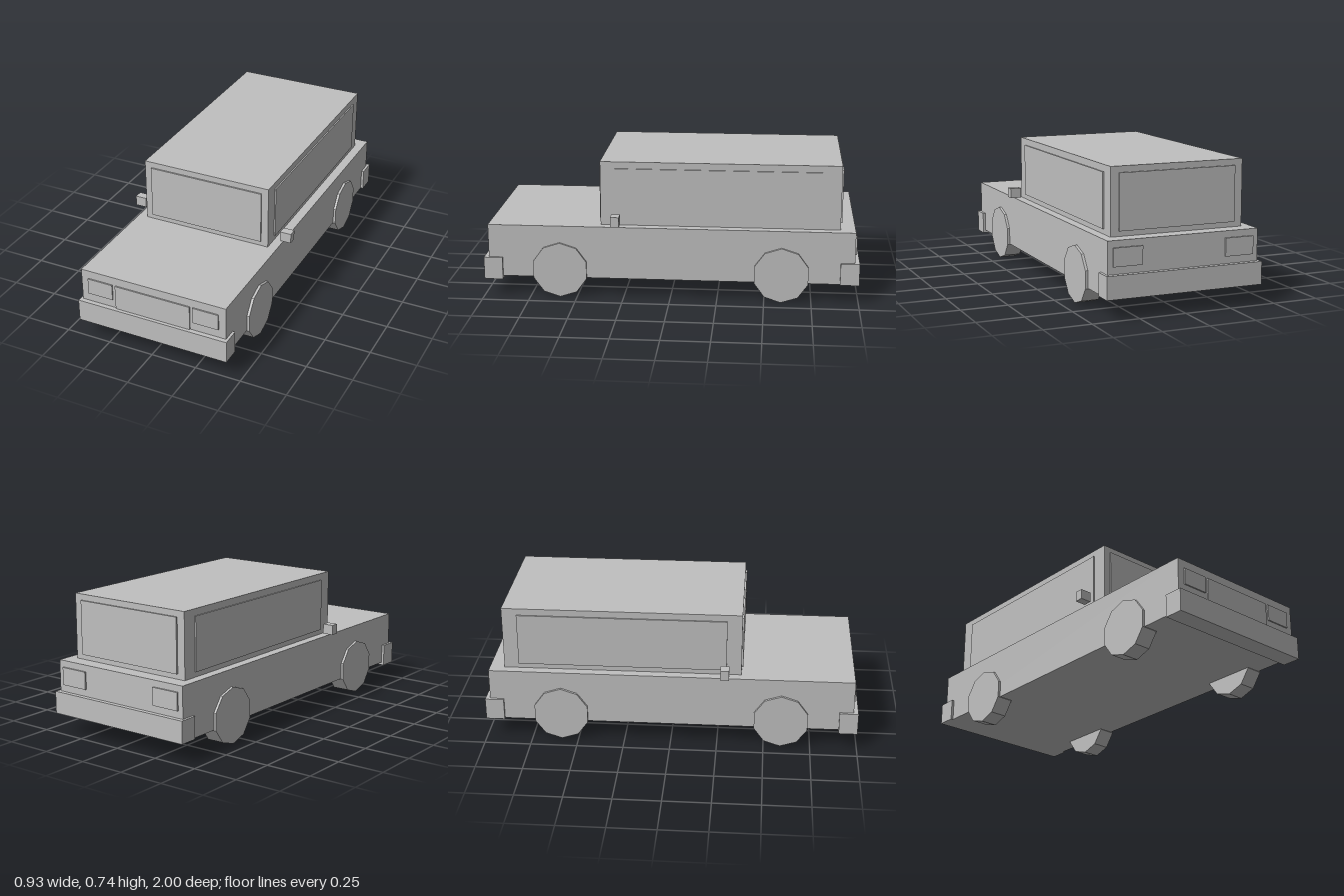
import * as THREE from 'three';

export function createModel() {
  const car = new THREE.Group();
  car.name = 'car';
  const grey = new THREE.MeshStandardMaterial({ color: 0xc0c0c0 });
  grey.name = 'grey';

  // box given by its limits on each axis
  function box(name, x0, x1, y0, y1, z0, z1) {
    const mesh = new THREE.Mesh(new THREE.BoxGeometry(x1 - x0, y1 - y0, z1 - z0), grey);
    mesh.position.set((x0 + x1) / 2, (y0 + y1) / 2, (z0 + z1) / 2);
    mesh.name = name;
    car.add(mesh);
  }

  // the same box on the left (+x) and right (-x)
  function pair(name, x0, x1, ...rest) {
    box('left' + name, x0, x1, ...rest);
    box('right' + name, -x1, -x0, ...rest);
  }

  // body and cabin
  box('body', -0.41, 0.41, 0.099, 0.384, -0.975, 0.975);
  box('cabin', -0.36, 0.36, 0.384, 0.729, -0.896, 0.374);

  // windows
  box('windscreen', -0.322, 0.322, 0.411, 0.697, 0.374, 0.382);
  box('rearWindow', -0.316, 0.316, 0.411, 0.697, -0.905, -0.896);
  pair('SideWindow', 0.36, 0.367, 0.411, 0.693, -0.817, 0.295);

  // bumpers
  box('frontBumper', -0.424, 0.424, 0.083, 0.204, 0.9, 1);
  box('rearBumper', -0.424, 0.424, 0.099, 0.217, -1, -0.9);

  // grille and lights
  box('grille', -0.212, 0.212, 0.19, 0.339, 0.975, 0.982);
  pair('Headlight', 0.229, 0.371, 0.251, 0.339, 0.975, 0.982);
  pair('TailLight', 0.226, 0.382, 0.255, 0.349, -0.984, -0.975);

  // mirrors
  pair('Mirror', 0.402, 0.463, 0.4, 0.454, 0.265, 0.311);

  // ten-sided wheels, resting on a flat side
  const radius = 0.15;
  const wheelGeometry = new THREE.CylinderGeometry(radius, radius, 0.093, 10)
    .rotateY(Math.PI / 2).rotateZ(Math.PI / 2).toNonIndexed();
  wheelGeometry.computeVertexNormals();
  for (const side of [1, -1]) {
    for (const end of [1, -1]) {
      const wheel = new THREE.Mesh(wheelGeometry, grey);
      wheel.name = (end > 0 ? 'front' : 'rear') + (side > 0 ? 'Left' : 'Right') + 'Wheel';
      wheel.position.set(side * 0.377, radius * Math.cos(Math.PI / 10), end * 0.59);
      car.add(wheel);
    }
  }
  return car;
}
